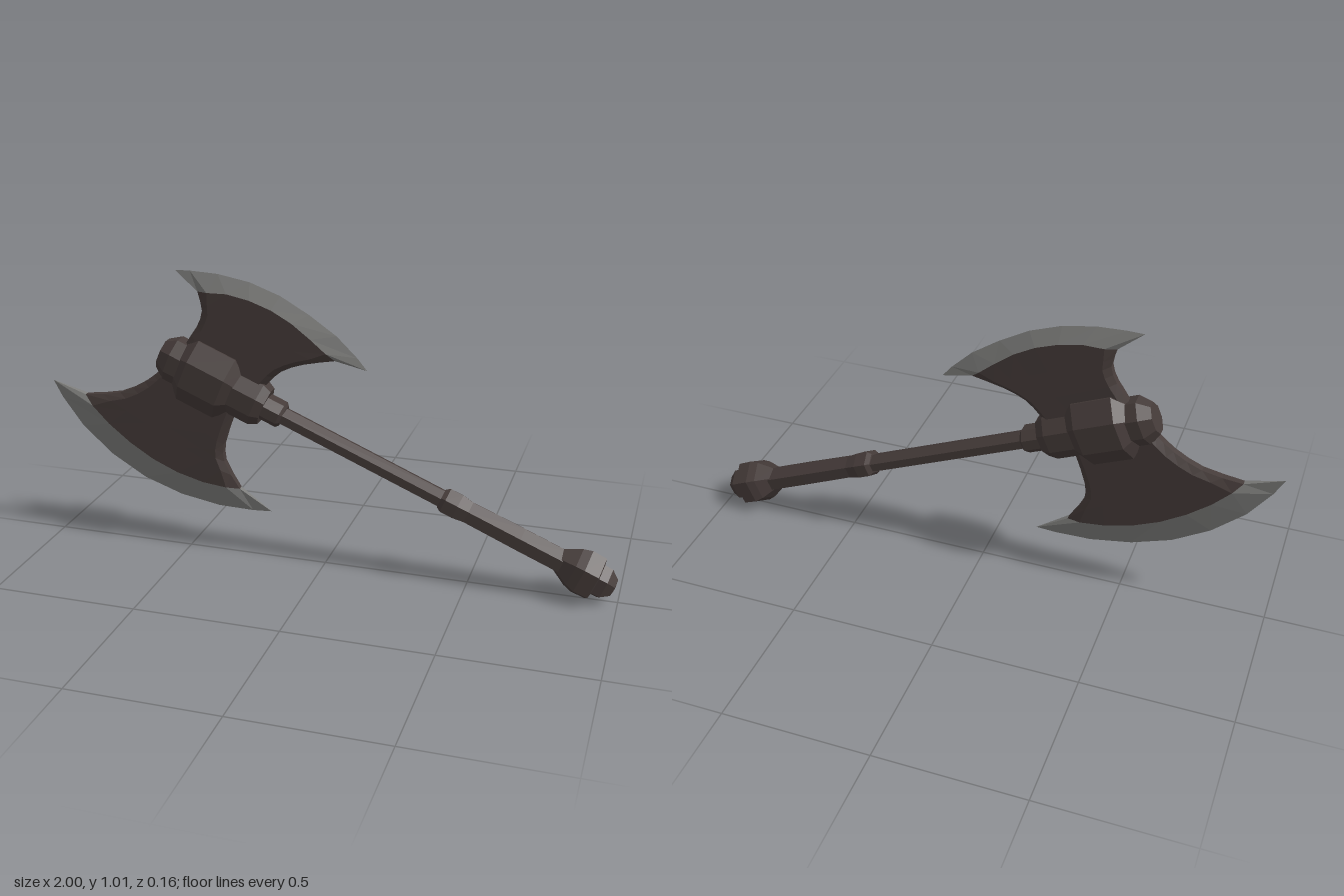
import * as THREE from 'three';

const mat = (name, color) => Object.assign(new THREE.MeshStandardMaterial({ color, flatShading: true }), { name });

// Faceted solid along local x from [position, radius] pairs; depth scales z
function turned(name, profile, sides, depth, material) {
  const pts = profile.map(([u, r]) => new THREE.Vector2(r, u));
  const start = sides === 6 ? Math.PI / 2 : Math.PI / sides;
  const geo = new THREE.LatheGeometry(pts, sides, start);
  geo.rotateZ(-Math.PI / 2);
  geo.scale(1, 1, depth);
  const mesh = new THREE.Mesh(geo, material);
  mesh.name = name;
  return mesh;
}

// Skin over closed rings that share a point count
function loft(name, rings, material) {
  const n = rings[0].length, index = [];
  for (let k = 0; k < rings.length - 1; k++) {
    for (let i = 0; i < n; i++) {
      const j = (i + 1) % n, a = k * n + i, b = k * n + j;
      index.push(a, b, b + n, a, b + n, a + n);
    }
  }
  const geo = new THREE.BufferGeometry().setFromPoints(rings.flat());
  geo.setIndex(index);
  geo.computeVertexNormals();
  const mesh = new THREE.Mesh(geo, material);
  mesh.name = name;
  return mesh;
}

const COLUMNS = [0, 0.07, 0.2, 0.35, 0.5, 0.65, 0.8, 0.93, 1];
const curve = (pts) => new THREE.CatmullRomCurve3(pts.map(([x, y]) => new THREE.Vector3(x, y, 0)));

// Ring round one row of the blade: front face, then back face reversed
function ring(row, thick, rim) {
  const last = row.length - 1;
  const z = (i) => (i === 0 || i === last ? rim : thick);
  const front = row.map((p, i) => new THREE.Vector3(p.x, p.y, z(i)));
  const back = row.map((p, i) => new THREE.Vector3(p.x, p.y, -z(i))).reverse();
  return [...front, ...back];
}

function blade(name, { sideA, sideB, border, edge }, dark, steel) {
  const group = new THREE.Group();
  group.name = name;
  const a = curve(sideA), b = curve(sideB), rings = [], steps = 8;
  for (let k = 0; k < steps; k++) {
    const p = a.getPoint(k / steps), q = b.getPoint(k / steps);
    rings.push(ring(COLUMNS.map((t) => p.clone().lerp(q, t)), 0.03 - 0.005 * k / steps, 0.012));
  }
  const sample = (pts) => COLUMNS.map((t) => curve(pts).getPointAt(t));
  const borderRing = ring(sample([sideA.at(-1), ...border, sideB.at(-1)]), 0.024, 0.01);
  rings.push(borderRing);
  group.add(loft(name + 'Plate', rings, dark));
  group.add(loft(name + 'CuttingEdge', [borderRing, ring(sample(edge), 0.0005, 0.0005)], steel));
  return group;
}

export function createModel() {
  const axe = new THREE.Group();
  axe.name = 'doubleAxe';
  const dark = mat('darkIron', 0x453b39);
  const steel = mat('edgeSteel', 0x7c7c7a);

  // Two blades, each listed from root to cutting edge
  axe.add(blade('upperBlade', {
    sideA: [[-0.5, 0.69], [-0.489, 0.751], [-0.446, 0.816], [-0.425, 0.874], [-0.44, 0.938]],
    sideB: [[-0.24, 0.59], [-0.2, 0.639], [-0.15, 0.687], [-0.072, 0.719], [0.035, 0.741]],
    border: [[-0.313, 0.938], [-0.152, 0.885], [-0.019, 0.789]],
    edge: [[-0.521, 1.003], [-0.393, 1.003], [-0.206, 0.965], [-0.035, 0.874], [0.072, 0.794], [0.142, 0.714]],
  }, dark, steel));
  axe.add(blade('lowerBlade', {
    sideA: [[-0.31, 0.56], [-0.323, 0.516], [-0.361, 0.404], [-0.361, 0.34], [-0.307, 0.243]],
    sideB: [[-0.55, 0.68], [-0.58, 0.655], [-0.644, 0.602], [-0.74, 0.553], [-0.874, 0.532]],
    border: [[-0.473, 0.265], [-0.634, 0.329], [-0.783, 0.436]],
    edge: [[-0.195, 0.168], [-0.313, 0.163], [-0.473, 0.179], [-0.66, 0.238], [-0.821, 0.34], [-0.939, 0.463], [-1, 0.57]],
  }, dark, steel));

  // Head and shaft share one tilted axis
  const shaft = new THREE.Group();
  shaft.name = 'shaft';
  shaft.position.set(-0.39, 0.63, 0);
  shaft.rotation.z = -0.4;
  shaft.add(
    turned('headSocket', [[-0.205, 0], [-0.205, 0.055], [-0.165, 0.085], [0.165, 0.085], [0.195, 0.07], [0.195, 0]], 8, 0.78, dark),
    turned('headBand', [[-0.135, 0.08], [-0.095, 0.125], [0.045, 0.125], [0.09, 0.08]], 8, 0.7, dark),
    turned('socketCollar', [[0.18, 0.046], [0.255, 0.046], [0.265, 0.036], [0.265, 0]], 8, 1.15, dark),
    turned('handle', [[0.2, 0.029], [0.9, 0.029]], 6, 1.5, dark),
    turned('grip', [[0.86, 0], [0.86, 0.036], [0.875, 0.046], [0.92, 0.046], [0.96, 0.04], [1.15, 0.042], [1.32, 0.042]], 6, 1.22, dark),
    turned('pommel', [[1.29, 0.042], [1.345, 0.075], [1.375, 0.085], [1.425, 0.083], [1.43, 0.062], [1.43, 0]], 6, 1, dark),
    turned('pommelCap', [[1.42, 0.06], [1.46, 0.058], [1.49, 0.034], [1.496, 0]], 6, 1, dark),
  );
  axe.add(shaft);
  return axe;
}
